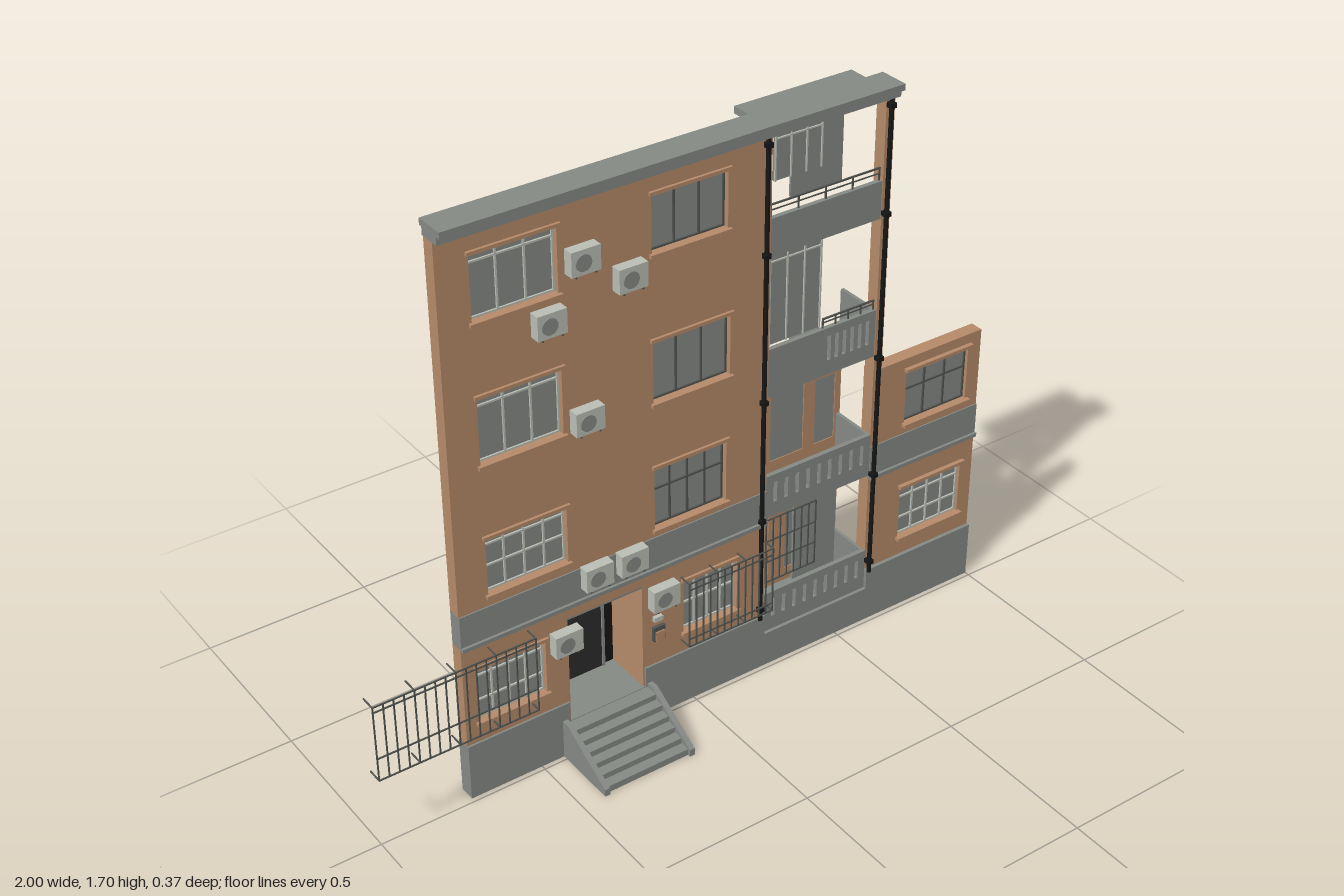
import * as THREE from 'three';

const material = (name, color) => {
  const m = new THREE.MeshStandardMaterial({ color });
  m.name = name;
  return m;
};

export function createModel() {
  const brick = material('brick', 0xb58a69);
  const grey = material('concrete grey', 0x858984);
  const light = material('light grey', 0xb9beb4);
  const black = material('black', 0x161616);
  const dark = material('dark door', 0x2b2b2b);
  const iron = material('iron grey', 0x50534f);
  const root = new THREE.Group();
  root.name = 'apartmentFacade';

  const add = (name, geo, mat, parent = root) => {
    const m = new THREE.Mesh(geo, mat);
    m.name = name;
    parent.add(m);
    return m;
  };
  const group = (name) => {
    const g = new THREE.Group();
    g.name = name;
    root.add(g);
    return g;
  };
  // Box given by its limits
  const box = (name, mat, x0, x1, y0, y1, z0, z1, parent) => {
    const m = add(name, new THREE.BoxGeometry(x1 - x0, y1 - y0, z1 - z0), mat, parent);
    m.position.set((x0 + x1) / 2, (y0 + y1) / 2, (z0 + z1) / 2);
    return m;
  };
  const outline = (pts) => pts.map(([x, y]) => new THREE.Vector2(x, y));
  // Upright slab with rectangular holes [x0, x1, y0, y1]
  const panel = (name, mat, pts, holes, z0, z1, parent) => {
    const s = new THREE.Shape(outline(pts));
    for (const [a, b, c, d] of holes) s.holes.push(new THREE.Path(outline([[a, c], [a, d], [b, d], [b, c]])));
    const m = add(name, new THREE.ExtrudeGeometry(s, { depth: z1 - z0, bevelEnabled: false }), mat, parent);
    m.position.z = z0;
    return m;
  };
  const rect = (a, b, c, d) => [[a, c], [b, c], [b, d], [a, d]];

  // Window openings, with mullion columns, crossbar heights and bar colour
  const upperWindows = [
    [-0.63, -0.39, 1.42, 1.6, 3, [0.83], light], [-0.63, -0.39, 1.02, 1.21, 3, [0.83], light],
    [-0.63, -0.39, 0.63, 0.8, 4, [0.45, 0.83], light],
    [-0.12, 0.11, 1.44, 1.6, 3, [], iron], [-0.12, 0.12, 1.01, 1.19, 3, [], iron], [-0.12, 0.11, 0.62, 0.81, 4, [0.6], iron],
  ];
  const lowerWindows = [[-0.68, -0.47, 0.24, 0.41, 4, [0.33, 0.8], light], [-0.03, 0.15, 0.24, 0.41, 4, [0.5], light]];
  const wingUpper = [[0.73, 0.955, 0.63, 0.8, 3, [0.6], iron]];
  const wingLower = [[0.73, 0.955, 0.24, 0.41, 4, [0.33, 0.75], light]];

  // Main wall and lower wing: brick fields, grey band and plinth
  const zb = -0.06, zf = -0.02;
  panel('upperWall', brick, rect(-0.72, 0.245, 0.595, 1.66), upperWindows, zb, zf);
  panel('groundFloorWall', brick,
    [[-0.72, 0.175], [-0.405, 0.175], [-0.405, 0.45], [-0.16, 0.45], [-0.16, 0.175], [0.245, 0.175], [0.245, 0.49], [-0.72, 0.49]],
    lowerWindows, zb, zf);
  panel('wingUpperWall', brick, rect(0.61, 1, 0.595, 0.84), wingUpper, -0.065, -0.025);
  panel('wingLowerWall', brick, rect(0.61, 1, 0.175, 0.49), wingLower, -0.065, -0.025);
  box('cornerPillar', brick, 0.608, 0.636, 0.84, 1.66, zb, -0.022);
  for (const [a, b, z0, z1] of [[-0.72, 0.245, zb, -0.016], [0.61, 1, -0.065, -0.021]]) {
    box('greyBand', grey, a, b, 0.49, 0.595, z0, z1);
    box('bandLedge', grey, a, b, 0.488, 0.5, z0, z1 + 0.008);
  }
  panel('plinth', grey,
    [[-0.72, 0], [1, 0], [1, 0.175], [0.61, 0.175], [0.61, 0.11], [0.245, 0.11], [0.245, 0.175],
      [-0.16, 0.175], [-0.16, 0.11], [-0.405, 0.11], [-0.405, 0.175], [-0.72, 0.175]], [], -0.062, -0.014);

  // Glazing, mullions, lintels and sills
  for (const [a, b, c, d, cols, bars, mat] of [...upperWindows, ...lowerWindows, ...wingUpper, ...wingLower]) {
    const g = group('window'), t = 0.0025;
    box('glass', grey, a, b, c, d, -0.047, -0.04, g);
    for (let i = 0; i <= cols; i++) {
      const x = a + t + (b - a - 2 * t) * i / cols;
      box('mullion', mat, x - t, x + t, c, d, -0.041, -0.035, g);
    }
    for (const f of [0.015, ...bars, 0.985]) {
      const y = c + (d - c) * f;
      box('crossbar', mat, a, b, y - t, y + t, -0.041, -0.035, g);
    }
    box('lintel', brick, a - 0.008, b + 0.008, d, d + 0.01, -0.03, -0.012, g);
    box('sill', brick, a - 0.008, b + 0.008, c - 0.01, c, -0.03, -0.01, g);
  }

  // Cornice in two steps
  box('corniceLower', grey, -0.72, 0.636, 1.66, 1.682, -0.065, 0);
  box('corniceUpper', grey, -0.72, 0.636, 1.682, 1.7, -0.075, 0.015);
  box('balconyRoof', grey, 0.24, 0.615, 1.655, 1.675, -0.175, -0.05);

  // Entrance recess
  const entry = group('entrance');
  box('entranceSide', brick, -0.405, -0.4, 0.11, 0.45, -0.168, -0.02, entry);
  box('entranceSide', brick, -0.165, -0.16, 0.11, 0.45, -0.168, -0.02, entry);
  box('entranceCeiling', grey, -0.405, -0.16, 0.445, 0.452, -0.168, -0.02, entry);
  box('entranceFloor', grey, -0.405, -0.16, 0.105, 0.112, -0.168, -0.015, entry);
  box('entranceBack', black, -0.405, -0.16, 0.106, 0.451, -0.175, -0.168, entry);
  box('door', dark, -0.365, -0.205, 0.112, 0.385, -0.168, -0.162, entry);
  for (const x of [-0.373, -0.205]) box('doorJamb', grey, x, x + 0.008, 0.112, 0.393, -0.168, -0.158, entry);
  box('doorHead', light, -0.373, -0.197, 0.385, 0.393, -0.168, -0.158, entry);

  // Entrance steps with sloped cheeks
  const stairs = group('stairs');
  for (let i = 0; i < 6; i++) {
    box('step', grey, -0.415, -0.155, 0, 0.11 - i * 0.018, -0.015, 0.03 * (i + 1) - 0.004, stairs);
  }
  for (const x of [-0.43, -0.155]) {
    const s = new THREE.Shape(outline([[0.02, 0], [-0.185, 0], [-0.185, 0.022], [-0.01, 0.122], [0.02, 0.122]]));
    const m = add('stairCheek', new THREE.ExtrudeGeometry(s, { depth: 0.016, bevelEnabled: false }), grey, stairs);
    m.rotation.y = Math.PI / 2;
    m.position.x = x;
  }

  // Balconies: floor, slotted front, side parapets
  const balcony = (y0, y1, sx0, sx1, n, sides) => {
    const g = group('balcony'), slots = [];
    for (let i = 0; i < n; i++) {
      const x = sx0 + (sx1 - sx0) * i / (n - 1);
      slots.push([x - 0.006, x + 0.006, y0 + 0.045, y1 - 0.025]);
    }
    panel('balconyFront', grey, rect(0.248, 0.61, y0, y1), slots, -0.038, -0.024, g);
    box('balconyFloor', grey, 0.245, 0.612, y0, y0 + 0.018, -0.168, -0.03, g);
    if (sides) for (const x of [0.246, 0.602]) box('balconySide', grey, x, x + 0.01, y0, y1, -0.168, -0.03, g);
  };
  balcony(0.11, 0.24, 0.28, 0.58, 9, true);
  balcony(0.5, 0.635, 0.28, 0.58, 9, true);
  balcony(0.89, 1.035, 0.45, 0.58, 6, true);
  balcony(1.31, 1.42, 0, 0, 0, false);

  // Thin handrails over the two upper balconies
  for (const [a, b, y, h] of [[0.43, 0.605, 1.035, 0.03], [0.25, 0.605, 1.42, 0.038]]) {
    const g = group('handrail');
    box('rail', iron, a, b, y + h - 0.004, y + h, -0.034, -0.029, g);
    box('rail', iron, a, b, y + h * 0.5, y + h * 0.5 + 0.003, -0.033, -0.03, g);
    for (let i = 0; i < 5; i++) {
      const x = a + (b - a - 0.004) * i / 4;
      box('railPost', iron, x, x + 0.004, y, y + h, -0.034, -0.03, g);
    }
  }

  // Brick walls behind the two lower balconies, with tall windows
  for (const [y0, y1, wins] of [
    [0.12, 0.5, [[0.27, 0.37, 0.17, 0.41], [0.43, 0.485, 0.17, 0.41]]],
    [0.52, 0.905, [[0.37, 0.485, 0.56, 0.8], [0.525, 0.595, 0.56, 0.77]]],
  ]) {
    panel('balconyBackWall', brick, rect(0.24, 0.615, y0, y1), wins, -0.182, -0.168);
    box('backWallCoping', brick, 0.238, 0.617, y1 - 0.01, y1, -0.185, -0.165);
    for (const [a, b, c, d] of wins) {
      box('balconyWindow', grey, a, b, c, d, -0.179, -0.171);
      box('balconyLintel', brick, a - 0.006, b + 0.006, d, d + 0.008, -0.185, -0.172);
    }
  }
  box('balconyDoor', grey, 0.45, 0.602, 0.12, 0.47, -0.162, -0.154);

  // Balcony glazing and screens
  const glazing = (a, b, c, d, z) => {
    const g = group('balconyGlazing');
    box('pane', grey, a, b, c, d, z - 0.006, z, g);
    for (const f of [0, 0.33, 0.66, 0.98]) {
      const x = a + (b - a) * f;
      box('paneBar', light, x, x + 0.004, c, d, z, z + 0.004, g);
    }
    box('paneRail', light, a, b, d - 0.03, d - 0.026, z, z + 0.004, g);
  };
  glazing(0.26, 0.43, 1.035, 1.31, -0.045);
  box('glazingReturn', grey, 0.425, 0.432, 0.905, 1.31, -0.165, -0.045);
  glazing(0.27, 0.42, 1.51, 1.655, -0.045);
  box('hangingScreen', grey, 0.42, 0.59, 1.37, 1.625, -0.174, -0.167);

  // Rain pipes with clamps
  for (const x of [0.226, 0.617]) {
    const p = add('rainPipe', new THREE.CylinderGeometry(0.0065, 0.0065, 1.5, 8), black);
    p.position.set(x, 0.92, -0.012);
    for (const y of [0.2, 0.5, 0.88, 1.32, 1.63]) box('pipeClamp', black, x - 0.009, x + 0.009, y, y + 0.014, -0.024, -0.003);
  }

  // Projecting window grilles
  const grille = (a, b, c, d, n, rails, z, back) => {
    const g = group('windowGrille'), t = 0.0018;
    for (let i = 0; i <= n; i++) {
      const x = a + t + (b - a - 2 * t) * i / n;
      box('grilleBar', iron, x - t, x + t, c, d, z - t, z + t, g);
      if (i % 4 === 0) for (const y of [c, d - 2 * t]) box('grilleTie', iron, x - t, x + t, y, y + 2 * t, back, z, g);
    }
    for (const f of rails) {
      const y = c + t + (d - c - 2 * t) * f;
      box('grilleRail', iron, a, b, y - t, y + t, z - t, z + t, g);
    }
  };
  grille(-1, -0.52, 0.228, 0.468, 16, [0, 0.3, 0.93, 1], 0.02, -0.025);
  grille(-0.04, 0.245, 0.215, 0.43, 12, [0, 0.12, 0.9, 1], 0.02, -0.025);
  grille(0.248, 0.45, 0.25, 0.465, 8, [0, 0.33, 0.66, 1], -0.055, -0.06);

  // Air conditioner units
  for (const [x, y] of [[-0.33, 1.5], [-0.43, 1.36], [-0.195, 1.41], [-0.33, 1.05], [-0.315, 0.565], [-0.205, 0.565], [-0.415, 0.393], [-0.105, 0.405]]) {
    const g = group('airConditioner');
    box('acCase', light, x - 0.042, x + 0.042, y - 0.033, y + 0.035, -0.018, 0.013, g);
    const fan = add('acFan', new THREE.CylinderGeometry(0.023, 0.023, 0.004, 20), grey, g);
    fan.rotation.x = Math.PI / 2;
    fan.position.set(x - 0.008, y, 0.014);
    for (const s of [-0.03, 0.026]) box('acBracket', iron, x + s, x + s + 0.004, y - 0.038, y - 0.033, -0.02, 0.013, g);
  }

  // Entry phone and letter box beside the door
  box('entryPhone', light, -0.132, -0.105, 0.322, 0.337, -0.02, -0.008);
  box('letterBox', iron, -0.134, -0.096, 0.256, 0.302, -0.02, -0.01);
  box('letterBoxFront', brick, -0.13, -0.1, 0.26, 0.288, -0.011, -0.006);

  return root;
}
